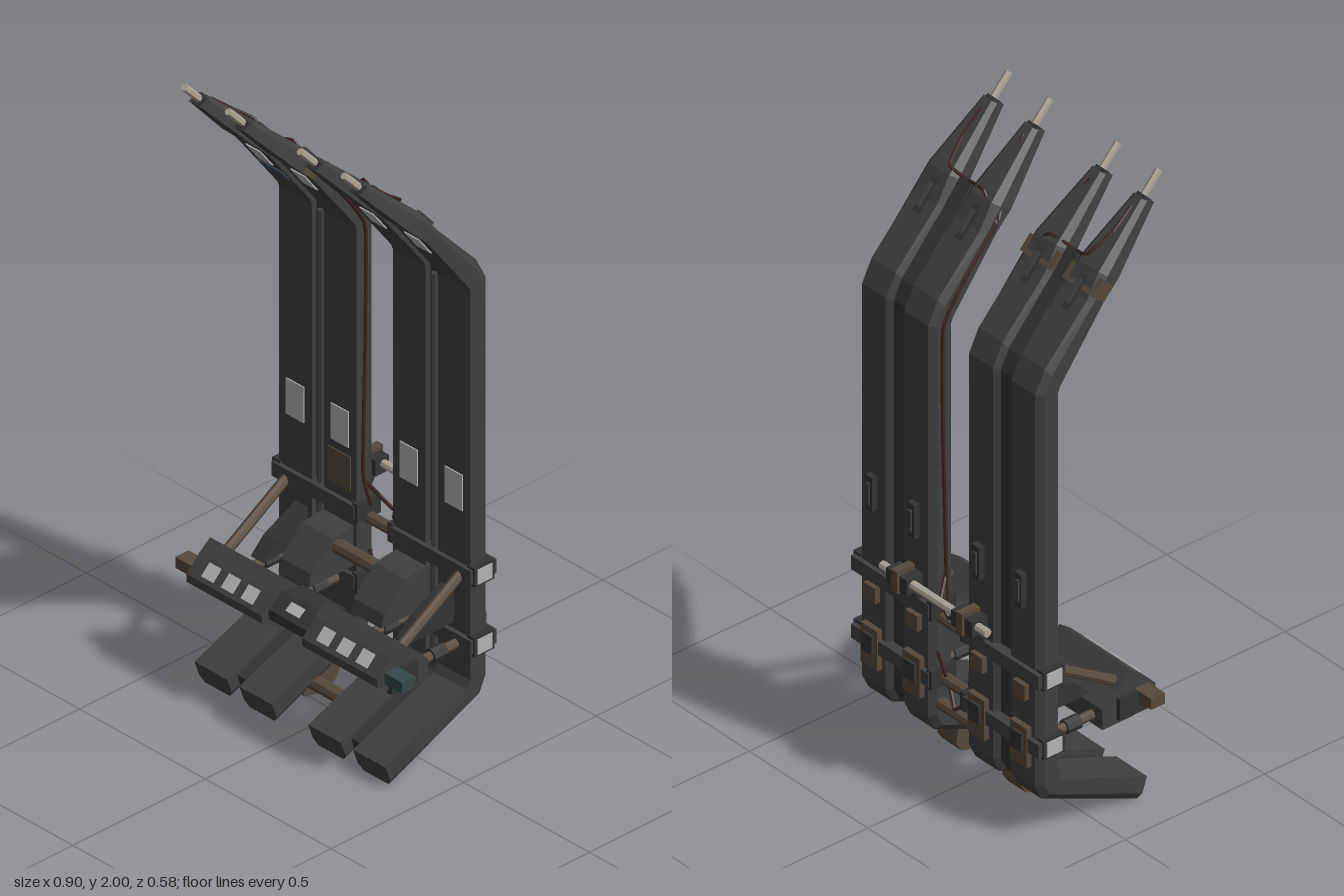
import * as THREE from 'three';

const mat = (color) => new THREE.MeshStandardMaterial({ color, flatShading: true });

export function createModel() {
  const root = new THREE.Group();
  const dark = mat(0x3f3f3f), darker = mat(0x333333), brown = mat(0x57493c), pale = mat(0xaca598);
  const label = mat(0xb4b4b4), cableRed = mat(0x3a2422), teal = mat(0x35484a), blue = mat(0x3a4a5a);

  const add = (name, geo, m) => {
    const mesh = new THREE.Mesh(geo, m);
    mesh.name = name;
    root.add(mesh);
    return mesh;
  };
  const box = (name, m, [w, h, d], [x, y, z], rx = 0) => {
    const b = add(name, new THREE.BoxGeometry(w, h, d), m);
    b.position.set(x, y, z);
    b.rotation.x = rx;
    return b;
  };
  const rod = (name, m, a, b, r, sides = 8) => {
    const A = new THREE.Vector3(...a), B = new THREE.Vector3(...b), dir = B.clone().sub(A);
    const c = add(name, new THREE.CylinderGeometry(r, r, dir.length(), sides), m);
    c.position.copy(A).add(B).multiplyScalar(0.5);
    c.quaternion.setFromUnitVectors(new THREE.Vector3(0, 1, 0), dir.normalize());
    return c;
  };
  const tube = (name, m, pts, r) => add(name, new THREE.TubeGeometry(
    new THREE.CatmullRomCurve3(pts.map((p) => new THREE.Vector3(...p)), false, 'catmullrom', 0.2), pts.length * 6, r, 6), m);
  // side profile of (z, y) points, extruded across x
  const slab = (name, m, profile, x, w) => {
    const g = new THREE.ExtrudeGeometry(new THREE.Shape(profile.map((p) => new THREE.Vector2(...p))),
      { depth: w, bevelEnabled: false });
    g.translate(0, 0, -w / 2);
    g.rotateY(-Math.PI / 2);
    const s = add(name, g, m);
    s.position.x = x;
    return s;
  };

  // stations of the bent blade: front z, y, back z, y
  const path = [
    [0.18, 0.075, 0.155, 0.005], [-0.125, 0.195, -0.187, 0.152], [-0.14, 0.22, -0.21, 0.2],
    [-0.14, 1.47, -0.21, 1.485], [-0.132, 1.49, -0.175, 1.555], [0.025, 1.7, -0.025, 1.715],
  ];
  const spire = [0.235, 1.92, 0.2, 1.94];

  // loft of six-sided sections with chamfered back edges
  const loft = (name, m, stations) => {
    const pos = [], idx = [];
    for (const { p: [fz, fy, bz, by], x, h, c } of stations) {
      const mz = fz + (bz - fz) * 0.7, my = fy + (by - fy) * 0.7;
      pos.push(x - h, fy, fz, x + h, fy, fz, x + h, my, mz,
        x + h - c, by, bz, x - h + c, by, bz, x - h, my, mz);
    }
    const last = (stations.length - 1) * 6;
    for (let i = 0; i < last; i += 6) {
      for (let j = 0; j < 6; j++) {
        const k = (j + 1) % 6;
        idx.push(i + j, i + k, i + 6 + k, i + j, i + 6 + k, i + 6 + j);
      }
    }
    for (let j = 1; j < 5; j++) idx.push(0, j + 1, j, last, last + j, last + j + 1);
    const g = new THREE.BufferGeometry();
    g.setAttribute('position', new THREE.Float32BufferAttribute(pos, 3));
    g.setIndex(idx);
    const flat = g.toNonIndexed();
    flat.computeVertexNormals();
    return add(name, flat, m);
  };

  for (const s of [1, -1]) {
    for (const [x, tipX] of [[0.137, 0.143], [0.315, 0.317]]) {
      const tx = s * tipX, bx = s * x;
      // bent blade ending in a tapered spire
      loft('blade', dark, [
        ...path.map((p) => ({ p, x: bx, h: 0.065, c: 0.015 })),
        { p: [0.08, 1.752, 0.025, 1.785], x: bx, h: 0.062, c: 0.02 },
        { p: spire, x: tx, h: 0.028, c: 0.012 },
      ]);
      rod('spike', pale, [tx, 1.89, 0.18], [tx, 1.995, 0.278], 0.011, 6);
      box('spikeSocket', darker, [0.035, 0.05, 0.03], [tx, 1.915, 0.207], 0.82);
      // pale plates on the front face
      box('lowerPlate', label, [0.07, 0.115, 0.006], [bx, 0.81, -0.139]);
      box('upperPlate', label, [0.058, 0.08, 0.006], [bx, 1.66, -0.004], 0.64);
      // latches on the back face
      box('lowerLatch', darker, [0.03, 0.11, 0.025], [bx, 0.83, -0.217]);
      box('lowerLatchBar', dark, [0.014, 0.07, 0.02], [bx, 0.83, -0.225]);
      box('upperLatch', darker, [0.028, 0.11, 0.02], [bx, 1.717, -0.018], 0.72);
      box('upperLatchBar', dark, [0.013, 0.075, 0.016], [bx, 1.727, -0.027], 0.72);
      // brown buckles on the lower back
      box('buckle', brown, [0.07, 0.13, 0.02], [bx, 0.325, -0.218]);
      box('buckleCap', darker, [0.045, 0.06, 0.014], [bx, 0.34, -0.23]);
      box('bandClip', brown, [0.05, 0.05, 0.02], [bx, 0.5, -0.217]);
    }

    // recessed web joining the two blades
    const web = path.map(([a, b, c, d]) => {
      const t = 0.25;
      return { p: [a + (c - a) * t, b + (d - b) * t, c + (a - c) * t, d + (b - d) * t], x: s * 0.226, h: 0.03, c: 0.005 };
    });
    web[0].p = [0.14, 0.073, 0.13, 0.035];
    web.push({ p: [0.07, 1.765, 0.045, 1.785], x: s * 0.226, h: 0.03, c: 0.005 });
    loft('blade web', darker, web);
    rod('grooveRib', dark, [s * 0.226, 0.24, -0.15], [s * 0.226, 1.46, -0.15], 0.01, 6);

    // clamp bands around the blades
    for (const y of [0.56, 0.335]) {
      box('clampBand', dark, [0.325, 0.045, 0.098], [s * 0.233, y, -0.175]);
      box('bandEnd', darker, [0.03, 0.062, 0.075], [s * 0.387, y, -0.172]);
      box('bandPlate', label, [0.006, 0.048, 0.055], [s * 0.402, y, -0.172]);
      box('innerBandEnd', darker, [0.02, 0.06, 0.09], [s * 0.07, y, -0.175]);
    }

    // console half with sloped panel
    slab('console', dark, [[0.02, 0.295], [0.13, 0.295], [0.21, 0.345], [0.21, 0.37], [0.16, 0.42],
      [0.12, 0.45], [0.07, 0.4], [0.02, 0.36]], s * 0.23, 0.3);
    for (const x of [0.15, 0.228, 0.306]) {
      box('panelPlate', label, [0.045, 0.045, 0.008], [s * x, 0.396, 0.185], -Math.PI / 4);
    }
    box('consoleEnd', darker, [0.02, 0.07, 0.1], [s * 0.385, 0.345, 0.12]);
    box('handle', s > 0 ? teal : brown, [0.075, 0.035, 0.05], [s * 0.413, 0.365, 0.16]);

    // wedge gusset, struts and lower arms behind the console
    slab('gusset', dark, [[0.03, 0.38], [0.02, 0.42], [-0.06, 0.5], [-0.145, 0.51], [-0.145, 0.38]], s * 0.145, 0.12);
    slab('outerGusset', darker, [[0.03, 0.38], [-0.02, 0.43], [-0.145, 0.49], [-0.145, 0.38]], s * 0.29, 0.05);
    rod('strut', brown, [s * 0.345, 0.38, 0.14], [s * 0.345, 0.565, -0.16], 0.016);
    for (const x of [0.14, 0.335]) {
      rod('lowerArm', brown, [s * x, 0.325, 0.03], [s * x, 0.325, -0.15], 0.015);
      rod('armCollar', darker, [s * x, 0.325, -0.03], [s * x, 0.325, -0.08], 0.022);
    }

    // rear clamp gripping the pale bar
    box('barClamp', darker, [0.09, 0.05, 0.05], [s * 0.137, 0.65, -0.255]);
    box('barClampCap', brown, [0.025, 0.07, 0.065], [s * 0.137, 0.655, -0.257]);
    box('barBracket', darker, [0.06, 0.07, 0.05], [s * 0.137, 0.625, -0.22], -0.5);

    // rounded housing under the foot
    slab('footHousing', brown, [[0.05, 0.06], [0.03, 0.025], [-0.02, 0.015], [-0.08, 0.03], [-0.1, 0.06],
      [-0.09, 0.12]].reverse(), s * 0.137, 0.08);

    // cables along the inner edge and over the spires
    tube('edgeCable', cableRed, [[s * 0.045, 0.58, -0.17], [s * 0.068, 0.68, -0.16], [s * 0.07, 1.1, -0.17],
      [s * 0.07, 1.47, -0.17], [s * 0.07, 1.6, -0.09], [s * 0.07, 1.73, 0.02]], 0.006);
    tube('spireCable', cableRed, [[s * 0.07, 1.73, 0.02], [s * 0.14, 1.8, 0.035], [s * 0.226, 1.78, 0.055],
      [s * 0.29, 1.805, 0.04], [s * 0.317, 1.86, 0.11], [s * 0.317, 1.92, 0.18]], 0.005);
    tube('innerSpireCable', cableRed, [[s * 0.07, 1.74, 0.03], [s * 0.1, 1.81, 0.08], [s * 0.142, 1.92, 0.18]], 0.005);
    tube('looseCable', cableRed, [[s * 0.07, 0.42, -0.19], [s * 0.04, 0.3, -0.17], [0, 0.26, -0.19]], 0.006);
    tube('upperLooseCable', cableRed, [[s * 0.07, 0.66, -0.16], [s * 0.045, 0.6, -0.2], [0, 0.57, -0.21]], 0.006);
  }

  // centre console
  slab('centreConsole', darker, [[0.05, 0.31], [0.13, 0.31], [0.185, 0.35], [0.185, 0.38], [0.13, 0.42],
    [0.05, 0.4]], 0, 0.17);
  box('centrePlate', label, [0.05, 0.03, 0.008], [0, 0.403, 0.16], -0.95);

  // cross rods between the two halves
  for (const [y, z, r] of [[0.53, -0.18, 0.018], [0.47, -0.08, 0.022], [0.325, 0.03, 0.02],
    [0.24, -0.175, 0.018], [0.07, 0.01, 0.022], [0.325, -0.17, 0.018]]) {
    rod('crossRod', brown, [-0.09, y, z], [0.09, y, z], r);
  }
  rod('rearBar', pale, [-0.225, 0.655, -0.26], [0.222, 0.655, -0.26], 0.013);

  // worn patches on the right half
  box('brownPatch', brown, [0.09, 0.11, 0.005], [-0.14, 0.67, -0.139]);
  box('bluePatch', blue, [0.1, 0.045, 0.005], [-0.315, 1.59, -0.056], 0.64);
  for (const x of [-0.137, -0.315]) {
    box('brownBand', brown, [0.131, 0.055, 0.052], [x, 1.735, 0.023], 0.75);
  }
  return root;
}
